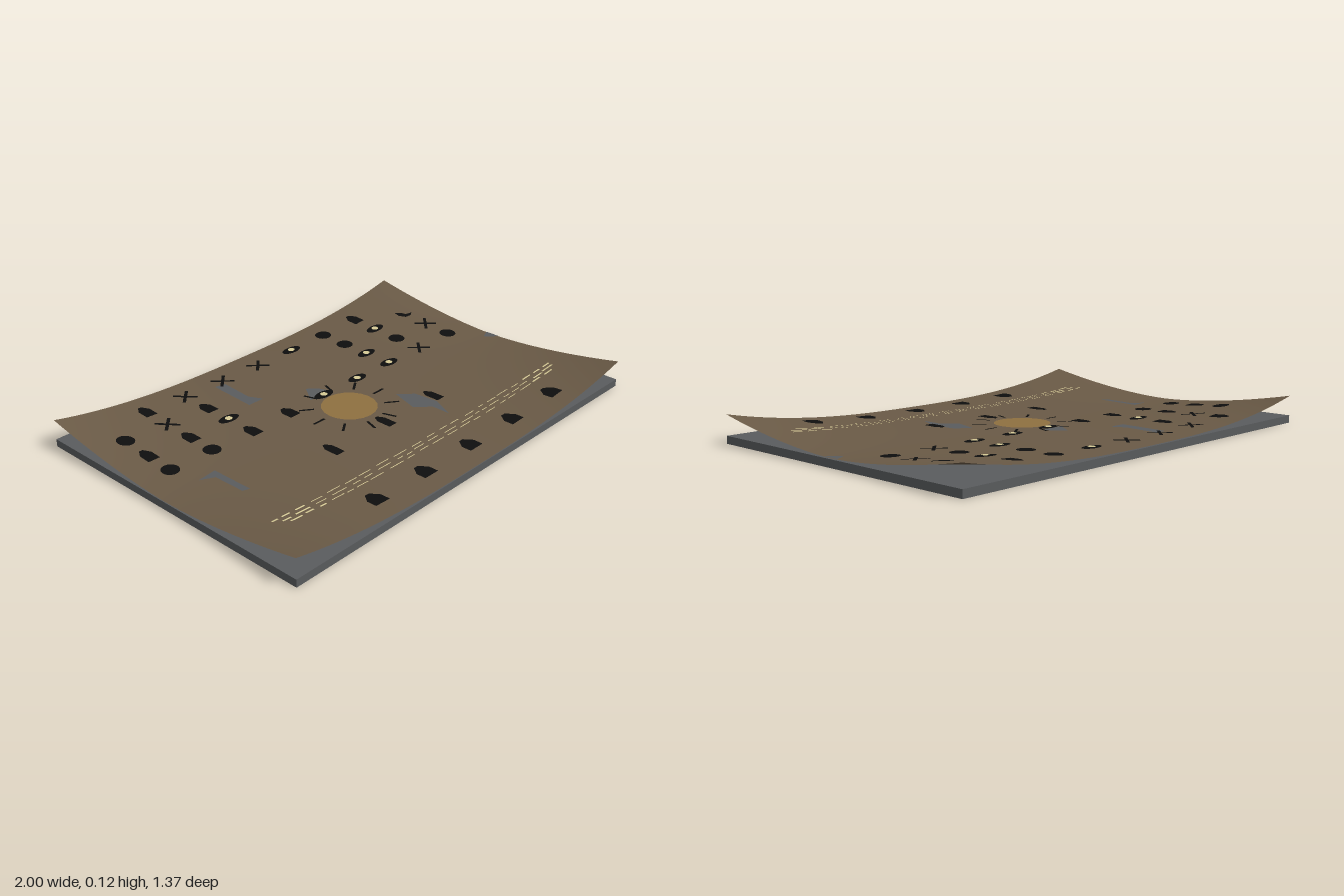
import * as THREE from 'three';

const HALF_Z = 0.687;

function mat(name, color, side = THREE.FrontSide) {
  const m = new THREE.MeshStandardMaterial({ color, side });
  m.name = name;
  return m;
}

// Sheet height: flat in the middle, curling up at the four corners
function height(x, z) {
  return 0.037 + 0.084 * Math.pow(Math.abs(x), 2.7) * Math.pow(Math.abs(z) / HALF_Z, 1.7);
}

// Lay a flat geometry (in the XZ plane) over the sheet
function drape(geo, offset) {
  const p = geo.attributes.position;
  for (let i = 0; i < p.count; i++) p.setY(i, height(p.getX(i), p.getZ(i)) + offset);
  geo.computeVertexNormals();
  return geo;
}

function polygon(points) {
  return new THREE.Shape(points.map(([x, y]) => new THREE.Vector2(x, y)));
}

function ellipse(rx, ry) {
  return new THREE.Shape().absellipse(0, 0, rx, ry, 0, Math.PI * 2);
}

function house(w, h, shoulder) {
  return polygon([[-w / 2, -h / 2], [w / 2, -h / 2], [w / 2, h * shoulder], [w * 0.15, h / 2], [-w * 0.15, h / 2], [-w / 2, h * shoulder]]);
}

function bar(length, width) {
  const l = length / 2, w = width / 2;
  return polygon([[-l, -w], [l, -w], [l, w], [-l, w]]);
}

export function createModel() {
  const model = new THREE.Group();
  const slate = mat('slate grey', 0x5a5c5e);
  const parchment = mat('brown parchment', 0x6a5a46, THREE.DoubleSide);
  const ink = mat('black ink', 0x0e0e0e);
  const gold = mat('dull gold', 0x8e7040);
  const cream = mat('pale cream', 0xd6ca96);

  // Place one thin painted shape on the sheet
  function mark(name, shape, material, x, z, angle = 0, offset = 0.005) {
    const geo = new THREE.ShapeGeometry(shape, 10);
    geo.rotateX(-Math.PI / 2).rotateY(angle).translate(x, 0, z);
    const mesh = new THREE.Mesh(drape(geo, offset), material);
    mesh.name = name;
    model.add(mesh);
  }

  // Backing board
  const board = new THREE.Mesh(new THREE.BoxGeometry(2, 0.033, HALF_Z * 2), slate);
  board.position.y = 0.0165;
  board.name = 'board';
  model.add(board);

  // Curled sheet
  const sheetGeo = new THREE.PlaneGeometry(2, HALF_Z * 2, 40, 28).rotateX(-Math.PI / 2);
  const sheet = new THREE.Mesh(drape(sheetGeo, 0), parchment);
  sheet.name = 'sheet';
  model.add(sheet);

  // Worn patches where the board shows through (x, z outlines)
  const patches = [
    [[-0.27, -0.55], [-0.28, -0.32], [-0.2, -0.32], [-0.23, -0.38], [-0.22, -0.54]],
    [[-0.82, -0.02], [-0.76, 0.01], [-0.76, 0.16], [-0.73, 0.17], [-0.73, -0.03]],
    [[0.22, 0.07], [0.18, 0.2], [0.24, 0.26], [0.24, 0.35], [0.29, 0.24], [0.28, 0.13]],
    [[0.95, -0.01], [0.97, 0.02], [1, 0.04], [1, -0.03]],
    [[-0.01, -0.25], [-0.07, -0.16], [0.05, -0.16], [0.03, -0.21]],
  ];
  for (const p of patches) mark('wornPatch', polygon(p.map(([x, z]) => [x, -z])), slate, 0, 0, 0, 0.002);

  // Sun with ten rays
  mark('sunDisc', new THREE.Shape().absarc(0, 0, 0.121, 0, Math.PI * 2), gold, 0, 0, 0, 0.006);
  for (let i = 0; i < 10; i++) {
    const a = (i / 10) * Math.PI * 2;
    mark('sunRay', bar(0.064, 0.011), ink, Math.cos(a) * 0.184, -Math.sin(a) * 0.184, a);
  }

  // Symbols: H house, X cross, E eye, O dot, C crescent, one letter per column
  const crescent = polygon([[-0.03, 0.035], [-0.037, 0], [-0.02, -0.03], [0.01, -0.036], [0.033, -0.022], [0.0, -0.012], [-0.008, 0.012]]);
  const draw = {
    H: (x, z) => mark('houseSymbol', house(0.056, 0.084, 0.14), ink, x, z),
    O: (x, z) => mark('dotSymbol', ellipse(0.038, 0.038), ink, x, z),
    C: (x, z) => mark('crescentSymbol', crescent, ink, x, z),
    X: (x, z) => {
      for (const s of [-1, 1]) mark('crossSymbol', bar(0.105, 0.014), ink, x, z, s * Math.PI / 4);
    },
    E: (x, z) => {
      mark('eyeSymbol', ellipse(0.051, 0.027), ink, x, z, 0, 0.0065);
      mark('eyePupil', ellipse(0.016, 0.016), cream, x, z, 0, 0.009);
    },
  };
  const rows = ['.HXXXEOH.', 'OXH...OEC', 'HHE...EOX', 'OOHHEEEXO'];
  const rowZ = [-0.565, -0.425, -0.288, -0.15];
  rows.forEach((row, r) => {
    [...row].forEach((kind, c) => {
      if (draw[kind]) draw[kind]((c - 4) * 0.2125, rowZ[r]);
    });
  });

  // Figures below the sun and along the front edge
  for (const x of [-0.313, 0, 0.311]) mark('figureSymbol', house(0.045, 0.095, 0.2), ink, x, 0.198, 0, 0.008);
  for (let i = 0; i < 5; i++) mark('frontSymbol', house(0.076, 0.08, 0.05), ink, -0.47 + i * 0.2815, 0.565);

  // Three dashed lines, heavier towards their ends
  let seed = 7;
  const random = () => (seed = (seed * 16807) % 2147483647) / 2147483647;
  [[0.41, -0.85, 0.91], [0.435, -0.82, 0.87], [0.458, -0.8, 0.85]].forEach(([z, start, end]) => {
    for (let x = start; x < end - 0.03;) {
      const length = Math.min(0.03 + random() * 0.05, end - x);
      const width = Math.abs(x) > 0.65 ? 0.008 : 0.004;
      mark('dash', bar(length, width), cream, x + length / 2, z + (random() - 0.5) * 0.008);
      x += length + 0.012 + random() * 0.03;
    }
  });

  return model;
}
